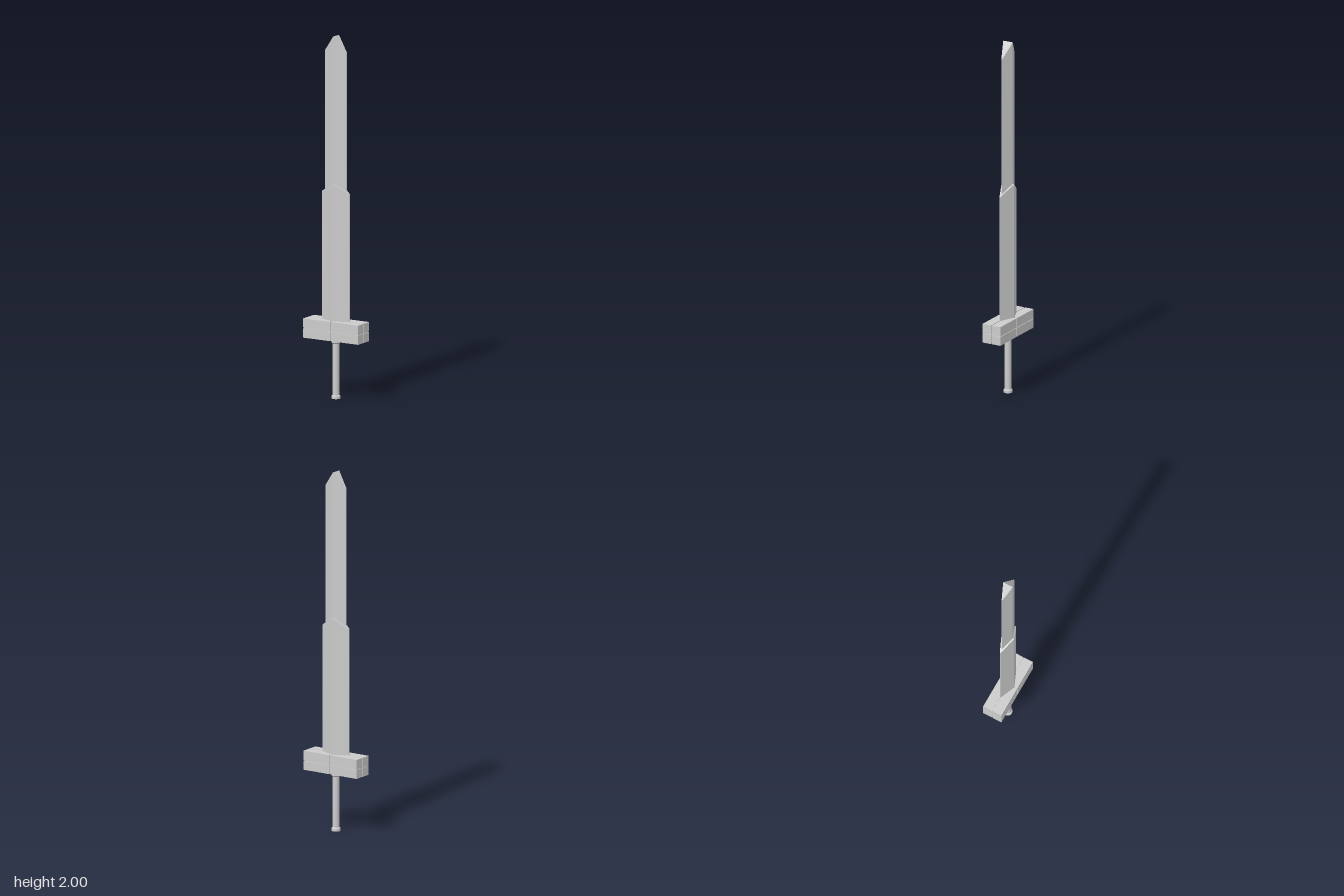
import * as THREE from 'three';

const material = new THREE.MeshStandardMaterial({ color: 0xcccccc });

function add(parent, name, geometry) {
  const mesh = new THREE.Mesh(geometry, material);
  mesh.name = name;
  parent.add(mesh);
  return mesh;
}

// Diamond-section prism in two mirrored halves, its top sloping down from x = 0
function diamondPrism(name, a, b, bottom, peak, shoulder) {
  const group = new THREE.Group();
  group.name = name;
  const c = 0.002; // blunted corners
  for (const side of [1, -1]) {
    const outline = [[0, -b], [c, -b], [a, -c], [a, c], [c, b], [0, b]];
    const shape = new THREE.Shape(outline.map(([x, z]) => new THREE.Vector2(side * x, z)));
    const geometry = new THREE.ExtrudeGeometry(shape, { depth: 1, bevelEnabled: false });
    geometry.rotateX(-Math.PI / 2);
    const p = geometry.attributes.position;
    for (let i = 0; i < p.count; i++) {
      const top = peak - (peak - shoulder) * Math.abs(p.getX(i)) / a;
      p.setY(i, p.getY(i) > 0.5 ? top : bottom);
    }
    geometry.computeVertexNormals();
    add(group, side > 0 ? name + 'Left' : name + 'Right', geometry);
  }
  return group;
}

export function createModel() {
  const model = new THREE.Group();
  model.name = 'sword';

  // Blade and the thicker sleeve around its lower half
  model.add(diamondPrism('blade', 0.068, 0.029, 0.42, 2, 1.915));
  model.add(diamondPrism('bladeSleeve', 0.088, 0.038, 0.42, 1.193, 1.135));

  // Crossguard: eight blocks around a core, leaving narrow grooves
  const guard = new THREE.Group();
  guard.name = 'crossguard';
  guard.position.y = 0.378;
  model.add(guard);
  const half = [0.176, 0.053, 0.056], gap = 0.0025, inset = 0.004;
  add(guard, 'guardCore', new THREE.BoxGeometry(...half.map(h => 2 * (h - inset))));
  const block = new THREE.BoxGeometry(...half.map(h => h - gap));
  for (const sx of [-1, 1]) for (const sy of [-1, 1]) for (const sz of [-1, 1]) {
    add(guard, 'guardBlock', block).position.set(
      sx * (half[0] + gap) / 2, sy * (half[1] + gap) / 2, sz * (half[2] + gap) / 2);
  }

  // Grip with a collar under the guard and a small pommel
  const lathe = points => new THREE.LatheGeometry(
    points.map(([r, y]) => new THREE.Vector2(r, y)), 32);
  add(model, 'grip', lathe([[0.018, 0.01], [0.018, 0.33]]));
  const disc = (r, y0, y1) => new THREE.CylinderGeometry(r, r, y1 - y0, 32).translate(0, (y0 + y1) / 2, 0);
  add(model, 'pommel', disc(0.024, 0, 0.015));
  add(model, 'pommelTaper', lathe([[0.024, 0.015], [0.018, 0.02]]));
  add(model, 'collar', disc(0.024, 0.309, 0.33));
  add(model, 'collarTaper', lathe([[0.018, 0.303], [0.024, 0.309]]));

  return model;
}
